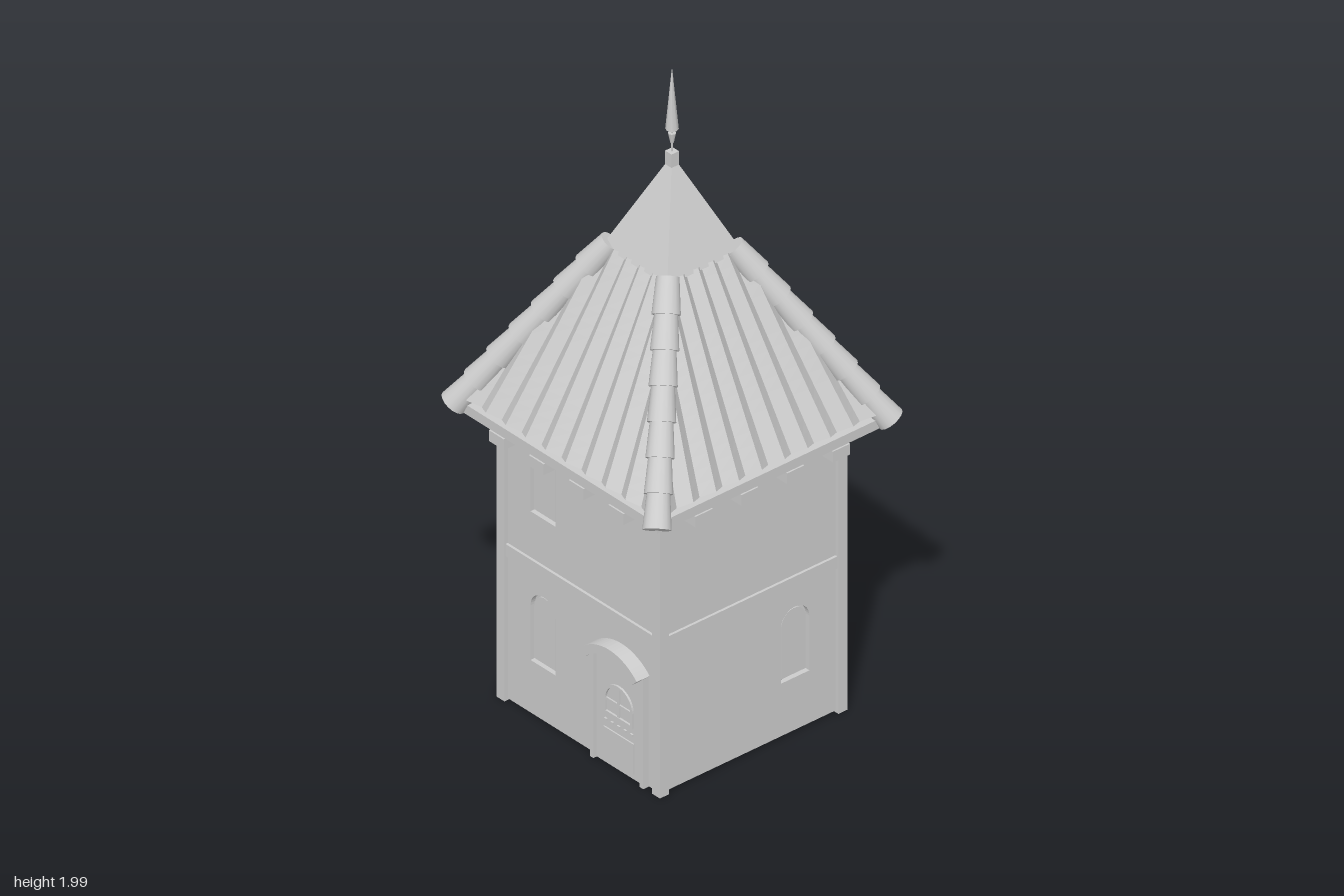
import * as THREE from 'three';

const stone = new THREE.MeshStandardMaterial({ color: 0xcccccc, side: THREE.DoubleSide });
stone.name = 'pale grey';

function add(parent, name, geo, x = 0, y = 0, z = 0) {
  const mesh = new THREE.Mesh(geo, stone);
  mesh.name = name;
  mesh.position.set(x, y, z);
  parent.add(mesh);
  return mesh;
}
const box = (w, h, d) => new THREE.BoxGeometry(w, h, d);
const extrude = (shape, depth) =>
  new THREE.ExtrudeGeometry(shape, { depth, bevelEnabled: false, curveSegments: 10 });

// Round-headed outline: centre x, bottom y, half width, total height
function arched(path, x, y, r, h) {
  path.moveTo(x - r, y);
  path.lineTo(x + r, y);
  path.lineTo(x + r, y + h - r);
  path.absarc(x, y + h - r, r, 0, Math.PI, false);
  path.lineTo(x - r, y);
  return path;
}

// Wall with openings, loose-fitting window panels, rails and corbels
function makeSide(windows) {
  const side = new THREE.Group();
  side.name = 'towerSide';
  const wall = new THREE.Shape([[-0.315, 0.005], [0.315, 0.005], [0.315, 0.9], [-0.315, 0.9]]
    .map(p => new THREE.Vector2(...p)));
  for (const [x, y] of windows) {
    wall.holes.push(arched(new THREE.Path(), x, y, 0.05, 0.222));
    add(side, 'windowPanel', extrude(arched(new THREE.Shape(), x, y + 0.008, 0.042, 0.206), 0.01), 0, 0, 0.3);
  }
  add(side, 'wall', extrude(wall, 0.016), 0, 0, 0.3);
  add(side, 'middleRail', box(0.62, 0.038, 0.024), 0, 0.474, 0.312);
  for (const x of [-0.24, -0.08, 0.08, 0.24])
    add(side, 'corbel', box(0.06, 0.034, 0.1), x, 0.881, 0.355);
  // top rail is split around any window that reaches it
  add(side, 'topRail', box(0.62, 0.036, 0.024), 0, 0.88, 0.312);
  return side;
}

// Pleated roof slope, trimmed along the hips
function pleatedSlope() {
  const rows = 16, cols = 20, pos = [], index = [];
  for (let j = 0; j <= rows; j++) {
    const t = j / rows;
    const half = 0.395 - 0.272 * t;
    for (let i = 0; i <= cols; i++) {
      const x0 = (i - cols / 2) * 0.04 * (1 - 0.35 * t);
      const x = THREE.MathUtils.clamp(x0, -half, half);
      const out = i % 2 ? 0.014 : -0.01;
      pos.push(x, 0.942 + 0.495 * t + out * 0.48, half + out * 0.876);
      if (i < cols && j < rows) {
        const a = j * (cols + 1) + i, b = a + cols + 1;
        index.push(a, a + 1, b + 1, a, b + 1, b);
      }
    }
  }
  const geo = new THREE.BufferGeometry();
  geo.setAttribute('position', new THREE.Float32BufferAttribute(pos, 3));
  geo.setIndex(index);
  const flat = geo.toNonIndexed();
  flat.computeVertexNormals();
  return flat;
}

// Row of overlapping round tiles down one hip
function hipTiles() {
  const hip = new THREE.Group();
  hip.name = 'hipTiles';
  const low = new THREE.Vector3(0.409, 0.918, 0.409), high = new THREE.Vector3(0.117, 1.44, 0.117);
  const dir = high.clone().sub(low), step = dir.length() / 7;
  dir.normalize();
  for (let i = 0; i < 7; i++) {
    const length = step * 1.06;
    const tile = add(hip, 'hipTile', new THREE.CylinderGeometry(0.031, 0.039, length, 16));
    tile.position.copy(low).addScaledVector(dir, i * step + length / 2);
    tile.quaternion.setFromUnitVectors(new THREE.Vector3(0, 1, 0), dir);
  }
  return hip;
}

// Arc band between two radii, used for the door hood
function arcBand(cx, cy, inner, outer, halfChord) {
  const a = Math.asin(halfChord / outer), s = new THREE.Shape();
  s.absarc(cx, cy, outer, Math.PI / 2 - a, Math.PI / 2 + a, false);
  s.absarc(cx, cy, inner, Math.PI / 2 + a, Math.PI / 2 - a, true);
  s.closePath();
  return s;
}

function makeDoor() {
  const door = new THREE.Group();
  door.name = 'door';
  const cx = 0.161;
  const leaf = new THREE.Shape();
  leaf.moveTo(cx - 0.098, 0.005);
  leaf.lineTo(cx + 0.098, 0.005);
  leaf.lineTo(cx + 0.098, 0.34);
  leaf.quadraticCurveTo(cx, 0.405, cx - 0.098, 0.34);
  add(door, 'doorLeaf', extrude(leaf, 0.014), 0, 0, 0.31);
  for (const s of [-1, 1])
    add(door, 'doorJamb', box(0.014, 0.345, 0.024), cx + s * 0.1, 0.175, 0.322);
  add(door, 'doorHood', extrude(arcBand(cx, 0.243, 0.13, 0.157, 0.112), 0.047), 0, 0, 0.314);
  // small arched light with glazing bars
  const frame = arched(new THREE.Shape(), cx, 0.165, 0.058, 0.105);
  frame.holes.push(arched(new THREE.Path(), cx, 0.173, 0.05, 0.089));
  add(door, 'doorLightFrame', extrude(frame, 0.006), 0, 0, 0.324);
  add(door, 'doorLightBar', box(0.008, 0.09, 0.005), cx, 0.217, 0.326);
  add(door, 'doorLightBar', box(0.1, 0.008, 0.005), cx, 0.21, 0.326);
  // studs and lower panel
  for (let i = -2; i <= 2; i++)
    add(door, 'doorStud', box(0.01, 0.006, 0.006), cx + i * 0.026, 0.143, 0.326);
  add(door, 'doorPanel', box(0.12, 0.095, 0.006), cx, 0.07, 0.325);
  return door;
}

export function createModel() {
  const model = new THREE.Group();
  model.name = 'watchTower';

  // Walls, one per side, with the windows of each side
  const sides = [
    [0, [[-0.155, 0.17], [-0.155, 0.637]]],
    [Math.PI / 2, [[0.155, 0.17]]],
    [Math.PI, [[0.155, 0.637]]],
    [-Math.PI / 2, [[-0.155, 0.17]]],
  ];
  const slope = pleatedSlope(), roof = new THREE.Group();
  roof.name = 'roof';
  for (const [angle, windows] of sides) {
    const side = makeSide(windows);
    side.rotation.y = angle;
    model.add(side);
    add(roof, 'pleatedSlope', slope).rotation.y = angle;
    const hip = hipTiles();
    hip.rotation.y = angle;
    roof.add(hip);
  }
  model.add(roof, makeDoor());

  // Corner posts
  for (const x of [-1, 1]) for (const z of [-1, 1])
    add(model, 'cornerPost', box(0.032, 0.9, 0.032), x * 0.312, 0.45, z * 0.312);

  // Eaves
  add(roof, 'eavesBoard', box(0.8, 0.03, 0.8), 0, 0.913, 0);
  add(roof, 'eavesBatten', box(0.74, 0.016, 0.74), 0, 0.934, 0);

  // Four-sided cap and neck
  const r2 = Math.SQRT2;
  const cap = new THREE.CylinderGeometry(0.012 * r2, 0.131 * r2, 0.265, 4, 1);
  cap.rotateY(Math.PI / 4);
  const flatCap = cap.toNonIndexed();
  flatCap.computeVertexNormals();
  add(roof, 'roofCap', flatCap, 0, 1.5625, 0);
  add(roof, 'capNeck', box(0.026, 0.05, 0.026), 0, 1.71, 0);

  // Finial
  add(roof, 'finialRod', new THREE.CylinderGeometry(0.003, 0.003, 0.09, 6), 0, 1.77, 0);
  add(roof, 'finialCup', new THREE.CylinderGeometry(0.011, 0.005, 0.03, 8), 0, 1.777, 0);
  add(roof, 'finialSpike', new THREE.CylinderGeometry(0.001, 0.018, 0.185, 8), 0, 1.8975, 0);
  return model;
}
